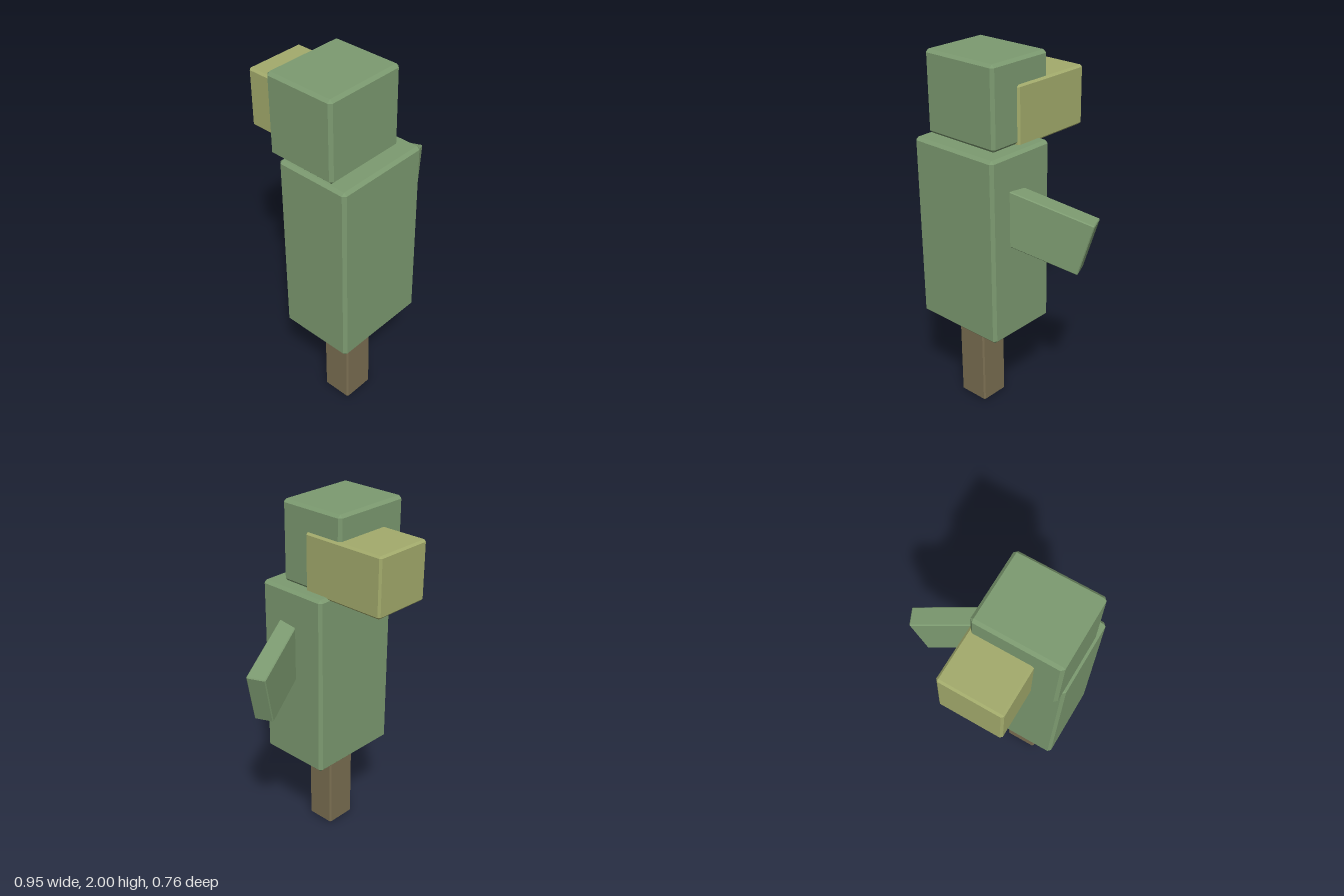
import * as THREE from 'three';
import { ConvexGeometry } from 'three/addons/geometries/ConvexGeometry.js';

const material = (name, color) => {
  const m = new THREE.MeshStandardMaterial({ color });
  m.name = name;
  return m;
};

// Box between two corners with every edge cut by a flat bevel
function bevelledBox(name, mat, min, max, bevel) {
  const centre = min.map((v, i) => (v + max[i]) / 2);
  const half = max.map((v, i) => (v - min[i]) / 2);
  const points = [];
  for (const sx of [-1, 1]) for (const sy of [-1, 1]) for (const sz of [-1, 1]) {
    const sign = [sx, sy, sz];
    // one point for each of the three faces meeting at this corner
    for (let face = 0; face < 3; face++) {
      points.push(new THREE.Vector3(...sign.map(
        (s, i) => centre[i] + s * (half[i] - (i === face ? 0 : bevel)))));
    }
  }
  const mesh = new THREE.Mesh(new ConvexGeometry(points), mat);
  mesh.name = name;
  return mesh;
}

export function createModel() {
  const leafGreen = material('leafGreen', 0x7c9a70);
  const paleLeaf = material('paleLeaf', 0xa3ab6c);
  const bark = material('bark', 0x7a6e51);

  const tree = new THREE.Group();
  tree.name = 'blockTree';

  tree.add(
    bevelledBox('trunk', bark, [-0.325, 0, 0.085], [-0.143, 0.6, 0.255], 0.008),
    bevelledBox('mainFoliage', leafGreen, [-0.476, 0.53, -0.045], [0.072, 1.56, 0.38], 0.016),
    bevelledBox('topFoliage', leafGreen, [-0.465, 1.56, -0.11], [0.002, 2, 0.292], 0.016),
    bevelledBox('backFoliage', paleLeaf, [-0.33, 1.545, -0.38], [0.013, 1.868, 0.12], 0.011),
  );

  // Side block, drooping and swung back; its origin is the middle of the tip's top edge
  const side = bevelledBox('sideFoliage', leafGreen, [-0.6, -0.296, -0.053], [0, 0, 0.053], 0.005);
  side.rotation.set(0, THREE.MathUtils.degToRad(23.4), THREE.MathUtils.degToRad(-16.2), 'YZX');
  side.position.set(0.453, 1.242, 0.033);
  tree.add(side);

  return tree;
}
